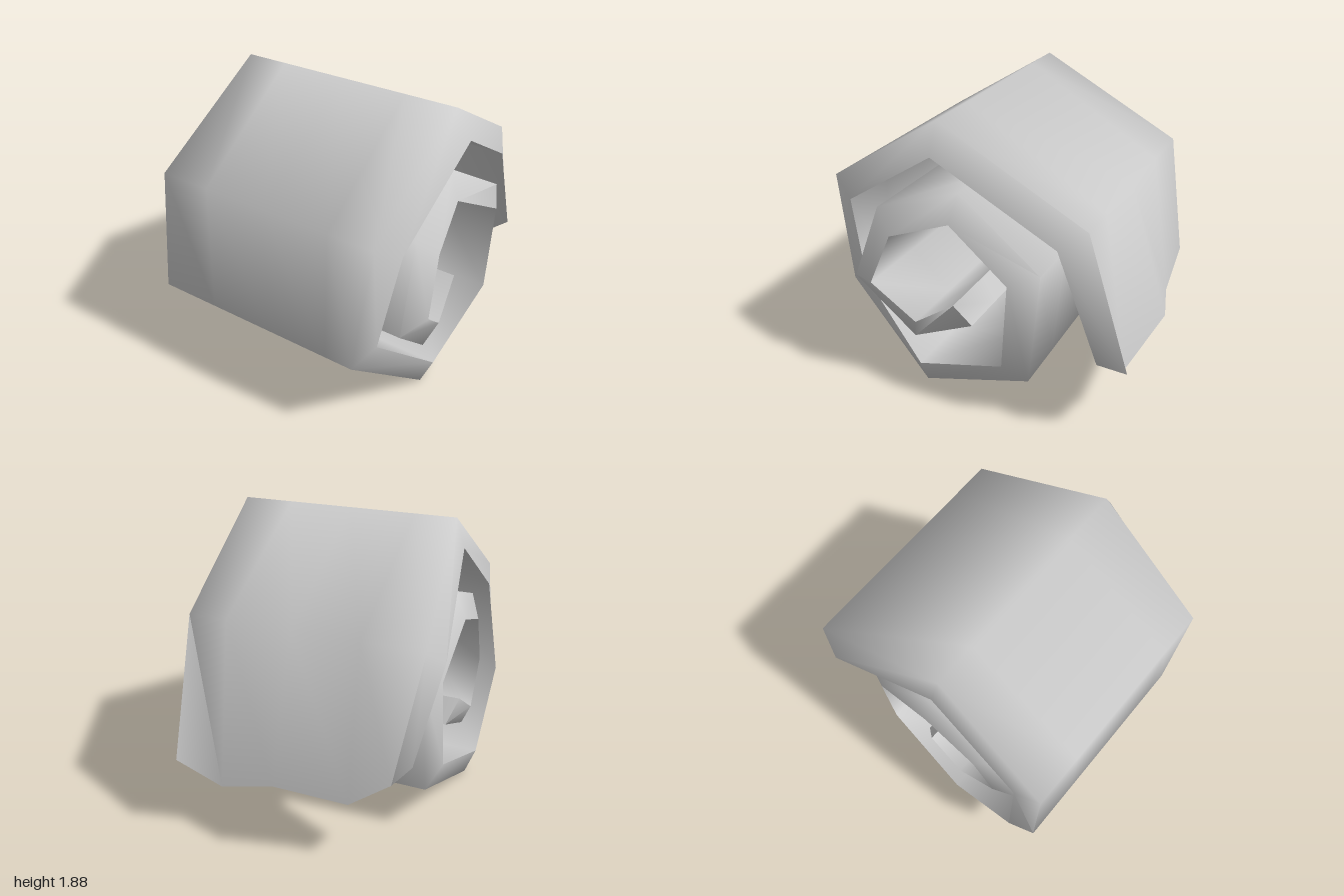
import * as THREE from 'three';
import { toCreasedNormals } from 'three/addons/utils/BufferGeometryUtils.js';

// Spiral corners from the loose flap to the core:
// outer z, y, +x end, -x end, then the same for the inner skin
const SPIRAL = [
  [-0.72, 1.37, 0.67, -0.80, -0.57, 1.26, 0.75, -0.87],
  [0.17, 1.88, 0.75, -0.69, 0.16, 1.70, 0.84, -0.75],
  [0.95, 1.38, 0.71, -0.75, 0.79, 1.28, 0.79, -0.79],
  [1.00, 0.55, 0.60, -0.82, 0.84, 0.63, 0.67, -0.88],
  [0.37, 0.00, 0.72, -0.81, 0.36, 0.19, 0.80, -0.88],
  [-0.40, 0.30, 0.76, -0.74, -0.26, 0.42, 0.84, -0.81],
  [-0.48, 1.08, 0.77, -0.72, -0.31, 1.01, 0.85, -0.79],
  [0.08, 1.44, 0.70, -0.73, 0.11, 1.26, 0.77, -0.80],
  [0.61, 1.26, 0.77, -0.72, 0.48, 1.13, 0.85, -0.80],
  [0.81, 0.74, 0.80, -0.72, 0.63, 0.78, 0.88, -0.80],
  [0.42, 0.36, 0.75, -0.75, 0.36, 0.53, 0.82, -0.82],
  [0.01, 0.55, 0.72, -0.74, 0.10, 0.71, 0.78, -0.80],
];

// Wavy hem of the loose flap, from +x to -x
const HEM_OUTER = [[0.67, 0.51, -0.99], [0.42, 0.32, -0.89], [0, 0.50, -1], [-0.42, 0.41, -0.88], [-0.68, 0.61, -0.88]];
const HEM_INNER = [[0.75, 0.58, -0.83], [0.42, 0.35, -0.69], [0, 0.52, -0.80], [-0.44, 0.43, -0.70], [-0.75, 0.65, -0.72]];

const across = (z, y, right, left) => [right, 0.42, 0, -0.42, left].map((x) => [x, y, z]);

function rolledSheet() {
  // Each row is a closed loop: across the outer skin, back along the inner one
  const rows = [[...HEM_OUTER, ...[...HEM_INNER].reverse()]];
  for (const s of SPIRAL) {
    rows.push([...across(...s.slice(0, 4)), ...across(...s.slice(4)).reverse()]);
  }
  const n = 10;
  const index = [];
  const quad = (a, b, c, d) => index.push(a, b, d, b, c, d);

  // Skins and bevelled side edges
  for (let i = 0; i < rows.length - 1; i++) {
    for (let j = 0; j < n; j++) {
      const k = (j + 1) % n;
      quad(i * n + j, i * n + k, (i + 1) * n + k, (i + 1) * n + j);
    }
  }
  // Hem and core end strips
  const last = (rows.length - 1) * n;
  for (let j = 0; j < 4; j++) {
    quad(j, 9 - j, 8 - j, j + 1);
    quad(last + j, last + j + 1, last + 8 - j, last + 9 - j);
  }

  const geometry = new THREE.BufferGeometry();
  geometry.setAttribute('position', new THREE.Float32BufferAttribute(rows.flat(2), 3));
  geometry.setIndex(index);
  return toCreasedNormals(geometry, THREE.MathUtils.degToRad(85));
}

export function createModel() {
  const group = new THREE.Group();
  group.name = 'bedroll';
  const sheet = new THREE.Mesh(rolledSheet(), new THREE.MeshStandardMaterial({ color: 0xcccccc }));
  sheet.name = 'rolledSheet';
  group.add(sheet);
  return group;
}
